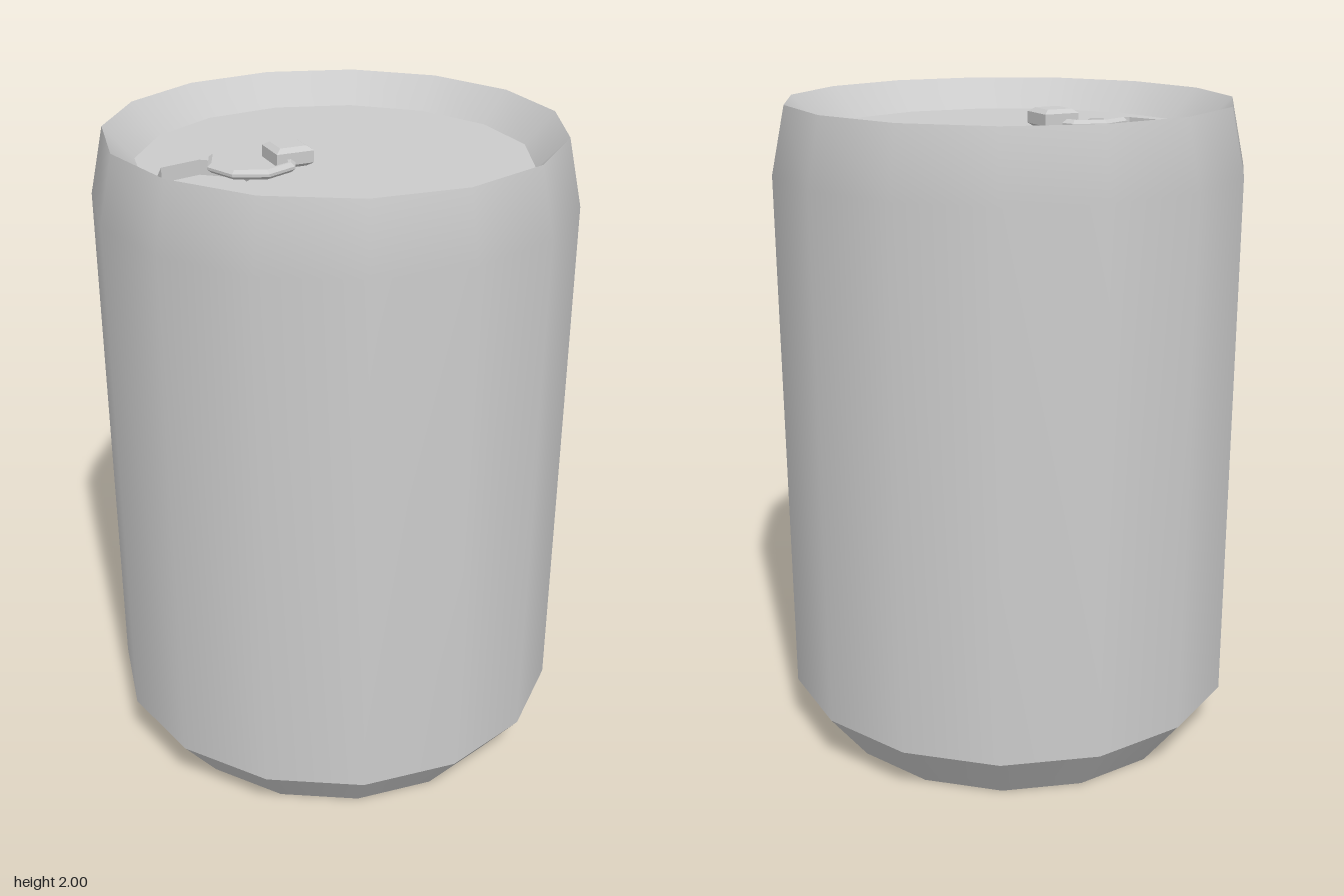
import * as THREE from 'three';

const SIDES = 15, TWIST = 0.014, LID_Y = 1.905, LID_R = 0.583;
const HOLE = { x: -0.402, z: 0.005, r: 0.148, depth: 0.045 };

const smooth = new THREE.MeshStandardMaterial({ color: 0xcccccc });
const flat = new THREE.MeshStandardMaterial({ color: 0xcccccc, flatShading: true });

// Regular polygon in plan (x, -z), with one corner pointing to -x
function polygon(sides, r, x = 0, z = 0, twist = 0) {
  const pts = [];
  for (let i = 0; i < sides; i++) {
    const a = Math.PI - twist + (i * 2 * Math.PI) / sides;
    pts.push(new THREE.Vector2(x + r * Math.cos(a), -(z + r * Math.sin(a))));
  }
  return pts;
}

export function createModel() {
  const model = new THREE.Group();
  model.name = 'drinkCan';
  const can = new THREE.Group();
  can.name = 'can';
  can.position.set(0.005, 0, -0.003);
  model.add(can);

  const add = (name, geometry, material, y = 0) => {
    const mesh = new THREE.Mesh(geometry, material);
    mesh.name = name;
    mesh.position.y = y;
    can.add(mesh);
    return mesh;
  };
  const turned = (name, profile) =>
    add(name, new THREE.LatheGeometry(
      profile.map(([r, y]) => new THREE.Vector2(r, y)), SIDES, -Math.PI / 2 + TWIST), smooth);

  // Shell, split where the edges are sharp
  turned('base', [[0, 0], [0.588, 0]]);
  turned('lowerTaper', [[0.588, 0], [0.715, 0.165]]);
  turned('body', [[0.715, 0.165], [0.715, 1.8], [0.672, 2]]);
  turned('innerRim', [[0.672, 2], [LID_R, LID_Y]]);

  // Lid with the mouth cut out
  const mouth = polygon(7, HOLE.r, HOLE.x, HOLE.z);
  const lid = new THREE.Shape(polygon(SIDES, LID_R, 0, 0, TWIST));
  lid.holes.push(new THREE.Path(mouth));
  add('lid', new THREE.ShapeGeometry(lid).rotateX(-Math.PI / 2), flat, LID_Y);

  // Sunken mouth: floor and walls facing inward
  add('mouthFloor', new THREE.ShapeGeometry(new THREE.Shape(mouth)).rotateX(-Math.PI / 2),
    flat, LID_Y - HOLE.depth);
  const wallMaterial = flat.clone();
  wallMaterial.side = THREE.DoubleSide;
  const wall = new THREE.CylinderGeometry(HOLE.r, HOLE.r, HOLE.depth, 7, 1, true, -Math.PI / 2);
  wall.translate(HOLE.x, 0, HOLE.z);
  add('mouthWall', wall, wallMaterial, LID_Y - HOLE.depth / 2);

  // Pull ring: octagon, wider at the mouth end
  const cx = -0.26, bevel = 0.012;
  const ring = new THREE.Shape(polygon(8, 0.133 - bevel, cx));
  ring.holes.push(new THREE.Path([
    [-0.318, 0], [-0.262, 0.112], [-0.182, 0.082], [-0.152, 0], [-0.182, -0.082], [-0.262, -0.112],
  ].map(([x, z]) => new THREE.Vector2(x, z))));
  const ringGeometry = new THREE.ExtrudeGeometry(ring, {
    depth: 0.008, bevelEnabled: true, bevelSize: bevel, bevelThickness: 0.01, bevelSegments: 1,
  }).rotateX(-Math.PI / 2);
  add('pullRing', ringGeometry, flat, LID_Y + 0.012);

  // Rivet block with a bevelled top
  const half = 0.057;
  const block = new THREE.Shape([[-1, -1], [1, -1], [1, 1], [-1, 1]]
    .map(([x, y]) => new THREE.Vector2(x * (half - 0.017), y * (half - 0.017))));
  const rivet = new THREE.ExtrudeGeometry(block, {
    depth: 0.035, bevelEnabled: true, bevelSize: 0.017, bevelThickness: 0.012, bevelSegments: 1,
  }).rotateX(-Math.PI / 2);
  add('rivetBlock', rivet, flat, LID_Y + 0.012).position.x = -0.148;

  return model;
}
